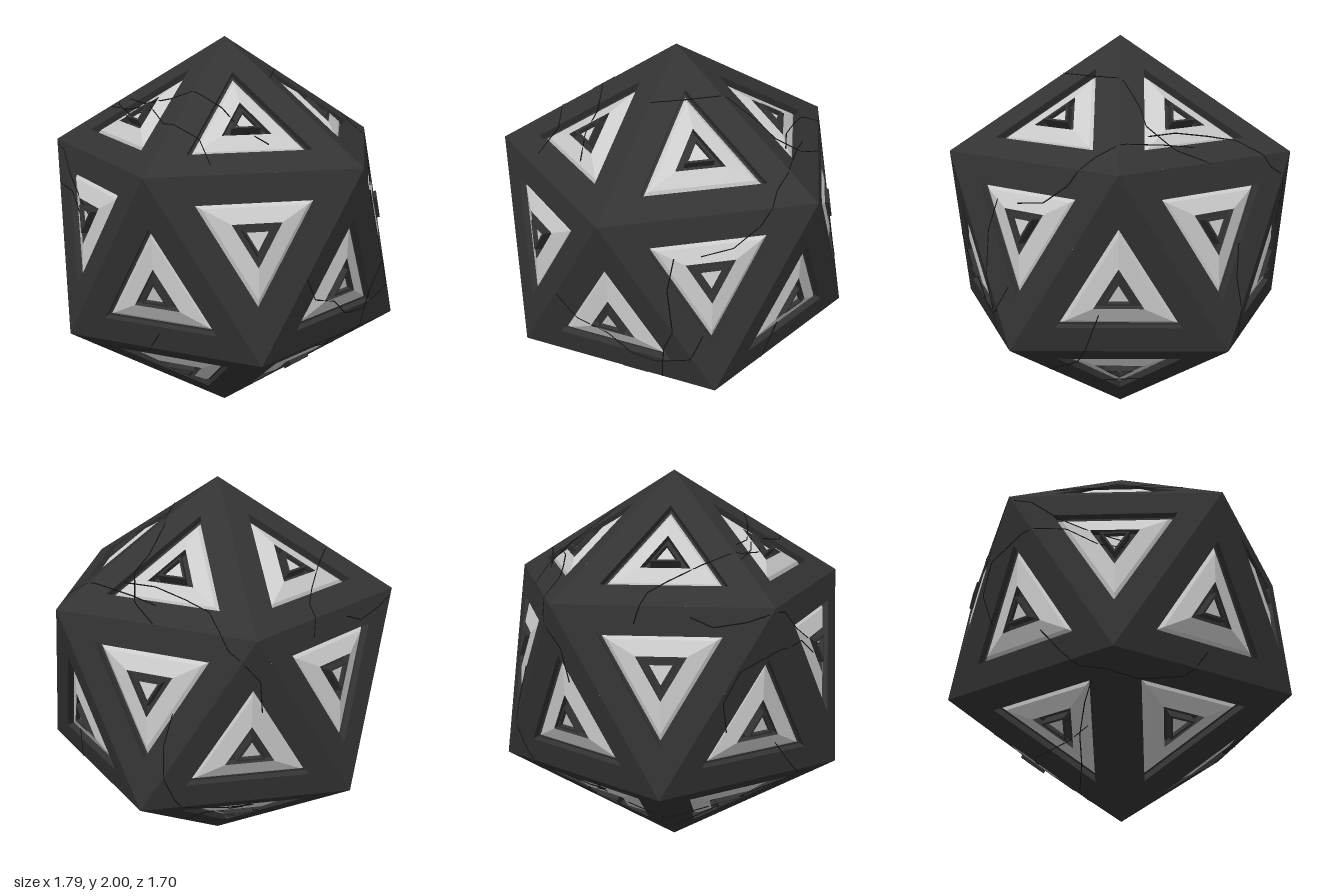
import * as THREE from 'three';

const dark = new THREE.MeshStandardMaterial({ color: 0x333333 });
const light = new THREE.MeshStandardMaterial({ color: 0xcccccc });
const black = new THREE.MeshStandardMaterial({ color: 0x111111 });
const FACE_IN = 0.30353; // inradius of one face of a unit icosahedron

// Concentric triangles, each given as [inradius, height], joined by flat strips
function triangleRings(profile) {
  const corner = ([r, h], k) => {
    const a = Math.PI / 2 + (k * 2 * Math.PI) / 3;
    return [2 * r * Math.cos(a), 2 * r * Math.sin(a), h];
  };
  const pos = [];
  for (let i = 0; i < profile.length - 1; i++) {
    for (let k = 0; k < 3; k++) {
      const a = corner(profile[i], k), b = corner(profile[i], k + 1);
      const c = corner(profile[i + 1], k + 1), d = corner(profile[i + 1], k);
      pos.push(...a, ...b, ...c);
      if (profile[i + 1][0] > 0) pos.push(...a, ...c, ...d);
    }
  }
  const g = new THREE.BufferGeometry();
  g.setAttribute('position', new THREE.Float32BufferAttribute(pos, 3));
  g.computeVertexNormals();
  return g;
}

// The layers of one face, from its edge to its middle
const layers = [
  ['frame', dark, [[FACE_IN, 0], [0.175, 0], [0.175, -0.035], [0.163, -0.035]]],
  ['bevelledTriangle', light, [[0.163, -0.035], [0.147, -0.02], [0.07, 0.004]]],
  ['innerRim', dark, [[0.07, 0.004], [0.07, -0.03], [0.042, -0.03], [0.042, 0.022], [0.032, 0.022], [0.032, 0]]],
  ['centreTriangle', light, [[0.032, 0], [0, 0]]],
].map(([name, material, profile]) => ({ name, material, geometry: triangleRings(profile) }));

// Corner triples of an icosahedron standing on one vertex
function icosahedronFaces() {
  const ring = (y, offset) => Array.from({ length: 5 }, (_, i) => {
    const a = ((72 * i + offset) * Math.PI) / 180, r = 2 / Math.sqrt(5);
    return new THREE.Vector3(r * Math.cos(a), y, r * Math.sin(a));
  });
  const up = ring(1 / Math.sqrt(5), 0), low = ring(-1 / Math.sqrt(5), 36);
  const top = new THREE.Vector3(0, 1, 0), bottom = new THREE.Vector3(0, -1, 0);
  const faces = [];
  for (let i = 0; i < 5; i++) {
    const j = (i + 1) % 5;
    faces.push([top, up[i], up[j]], [low[i], up[i], up[j]], [up[j], low[i], low[j]], [bottom, low[i], low[j]]);
  }
  return faces;
}

function makePanel(corners) {
  const centre = new THREE.Vector3();
  corners.forEach((c) => centre.addScaledVector(c, 1 / 3));
  const z = centre.clone().normalize();
  const y = corners[0].clone().sub(centre).normalize();
  const x = y.clone().cross(z);
  const panel = new THREE.Group();
  panel.name = 'facePanel';
  panel.quaternion.setFromRotationMatrix(new THREE.Matrix4().makeBasis(x, y, z));
  panel.position.copy(centre);
  for (const { name, material, geometry } of layers) {
    const mesh = new THREE.Mesh(geometry, material);
    mesh.name = name;
    panel.add(mesh);
  }
  return panel;
}

function seeded(seed) {
  return () => (seed = (seed * 16807) % 2147483647) / 2147483647;
}

// Hairline cracks: jagged walks over the sphere, dropped onto the flat faces
function makeCracks(normals, inradius) {
  const cracks = new THREE.Group();
  cracks.name = 'cracks';
  const rand = seeded(4711);
  const drop = (p) => p.clone().multiplyScalar(inradius / Math.max(...normals.map((n) => n.dot(p))));
  const count = 16;
  for (let i = 0; i < count; i++) {
    const y = 1 - (2 * (i + 0.5)) / count, a = i * 2.39996, r = Math.sqrt(1 - y * y);
    let p = new THREE.Vector3(r * Math.cos(a), y, r * Math.sin(a));
    let step = new THREE.Vector3(rand() - 0.5, rand() - 0.5, rand() - 0.5).cross(p).setLength(0.2);
    const path = new THREE.CurvePath();
    for (let s = 0; s < 6; s++) {
      step.applyAxisAngle(p, (rand() - 0.5) * 1.4);
      const q = p.clone().add(step).normalize();
      for (let t = 0; t < 6; t++) {
        path.add(new THREE.LineCurve3(drop(p.clone().lerp(q, t / 6)), drop(p.clone().lerp(q, (t + 1) / 6))));
      }
      p = q;
      step.projectOnPlane(p).setLength(0.13 + 0.14 * rand());
    }
    const mesh = new THREE.Mesh(new THREE.TubeGeometry(path, 72, 0.003, 4), black);
    mesh.name = 'crack';
    cracks.add(mesh);
  }
  return cracks;
}

export function createModel() {
  const model = new THREE.Group();
  model.name = 'panelledIcosahedron';
  const body = new THREE.Group();
  body.name = 'body';
  body.position.y = 1;
  const panels = icosahedronFaces().map(makePanel);
  body.add(...panels);
  const normals = panels.map((p) => p.position.clone().normalize());
  body.add(makeCracks(normals, panels[0].position.length()));
  model.add(body);
  return model;
}
